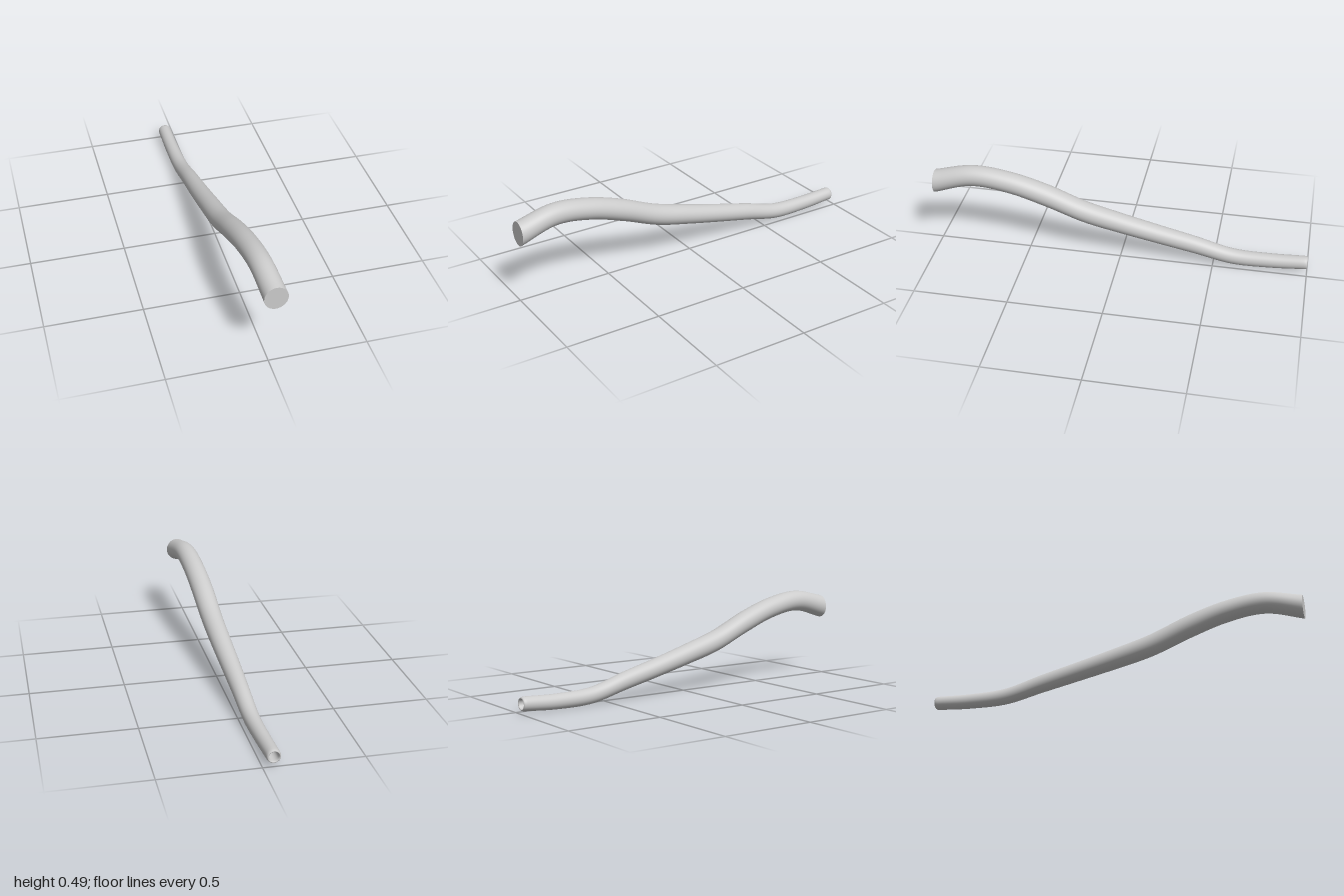
import * as THREE from 'three';

const material = new THREE.MeshStandardMaterial({ color: 0xcccccc });
const SIDES = 40;

// Stations along the hose: z, centre x, centre y, half width, half height
const stations = [
  [1.0, 0.029, 0.391, 0.059, 0.063],
  [0.8, 0.013, 0.435, 0.057, 0.056],
  [0.6, 0.001, 0.408, 0.058, 0.057],
  [0.4, -0.010, 0.342, 0.059, 0.060],
  [0.2, -0.019, 0.259, 0.057, 0.058],
  [0.0, -0.026, 0.203, 0.054, 0.054],
  [-0.2, -0.034, 0.152, 0.050, 0.050],
  [-0.4, -0.040, 0.104, 0.045, 0.047],
  [-0.6, -0.046, 0.053, 0.041, 0.042],
  [-0.8, -0.052, 0.046, 0.038, 0.039],
  [-0.98, -0.055, 0.055, 0.036, 0.036],
];

// Closed loops of upright ellipses, skinned from +z to -z
function skin(rings) {
  const positions = [], index = [];
  rings.forEach(({ x, y, z, rx, ry }, i) => {
    for (let j = 0; j < SIDES; j++) {
      const a = (j / SIDES) * Math.PI * 2;
      positions.push(x + rx * Math.cos(a), y + ry * Math.sin(a), z);
      if (i === 0) continue;
      const k = (j + 1) % SIDES, p = (i - 1) * SIDES, q = i * SIDES;
      index.push(p + j, q + j, p + k, p + k, q + j, q + k);
    }
  });
  const g = new THREE.BufferGeometry();
  g.setAttribute('position', new THREE.Float32BufferAttribute(positions, 3));
  g.setIndex(index);
  g.computeVertexNormals();
  return g;
}

export function createModel() {
  const group = new THREE.Group();
  group.name = 'hose';
  const add = (geometry, name) => {
    const mesh = new THREE.Mesh(geometry, material);
    mesh.name = name;
    group.add(mesh);
    return mesh;
  };

  // Tapering, gently bent body
  const centre = new THREE.CatmullRomCurve3(
    stations.map(([z, x, y]) => new THREE.Vector3(x, y, z)), false, 'catmullrom');
  const radii = new THREE.CatmullRomCurve3(
    stations.map(([z, , , rx, ry]) => new THREE.Vector3(rx, ry, z)), false, 'catmullrom');
  const rings = [];
  for (let i = 0; i <= 100; i++) {
    const c = centre.getPoint(i / 100), r = radii.getPoint(i / 100);
    rings.push({ x: c.x, y: c.y, z: c.z, rx: r.x, ry: r.y });
  }

  // Rounded lip that turns inward to the bore: [z, scale]
  const end = rings[rings.length - 1];
  const lip = [[-0.99, 0.97], [-0.996, 0.92], [-1, 0.83], [-0.998, 0.74],
    [-0.992, 0.69], [-0.98, 0.67], [-0.9, 0.66]];
  lip.forEach(([z, s]) => rings.push({ ...end, z, rx: end.rx * s, ry: end.ry * s }));
  add(skin(rings), 'hoseBody');

  // Flat front end and the floor of the bore
  const disc = (ring, name, facing) => {
    const mesh = add(new THREE.CircleGeometry(1, SIDES), name);
    mesh.position.set(ring.x, ring.y, ring.z);
    mesh.scale.set(ring.rx, ring.ry, 1);
    mesh.rotation.y = facing;
  };
  disc(rings[0], 'frontCap', 0);
  disc(rings[rings.length - 1], 'boreFloor', Math.PI);

  return group;
}
